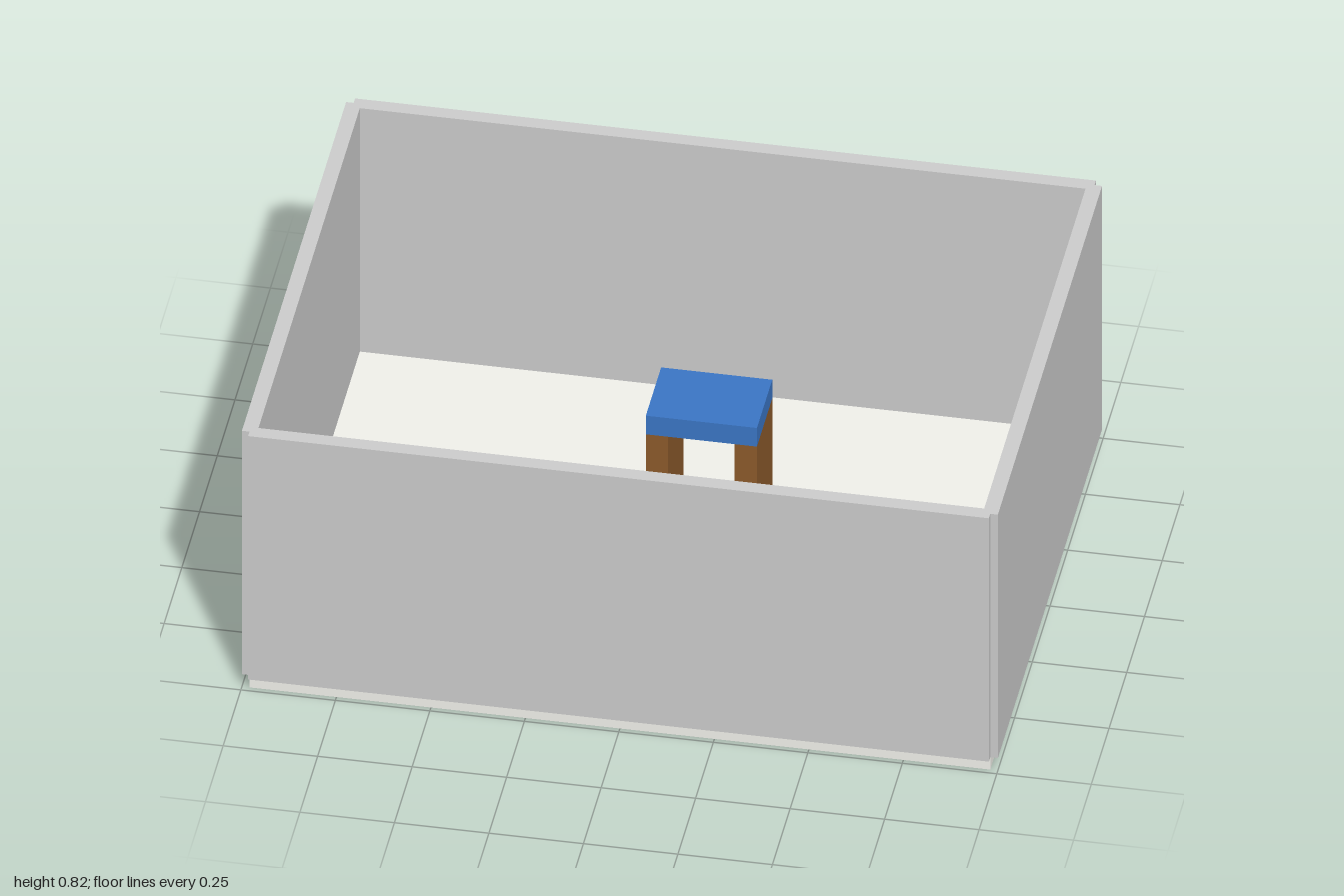
import * as THREE from 'three';

const WIDTH = 1.96, DEPTH = 1.47, THICK = 0.04, WALL_HEIGHT = 0.785;

export function createModel() {
  const room = new THREE.Group();
  room.name = 'room';

  const paint = (color) => new THREE.MeshStandardMaterial({ color });
  const wallGrey = paint(0xcccccc);
  const floorPale = paint(0xf0f0ea);
  const blue = paint(0x3a75c4);
  const brown = paint(0x8b5a2b);

  // Box standing with its underside at height y
  function addBox(parent, name, [w, h, d], [x, y, z], material) {
    const mesh = new THREE.Mesh(new THREE.BoxGeometry(w, h, d), material);
    mesh.name = name;
    mesh.position.set(x, y + h / 2, z);
    parent.add(mesh);
  }

  addBox(room, 'floor', [WIDTH, THICK, DEPTH], [0, 0, 0], floorPale);

  // Walls centred on the floor's edges, leaving notched corners
  for (const s of [1, -1]) {
    addBox(room, s > 0 ? 'frontWall' : 'backWall',
      [WIDTH, WALL_HEIGHT, THICK], [0, THICK, s * DEPTH / 2], wallGrey);
    addBox(room, s > 0 ? 'leftWall' : 'rightWall',
      [THICK, WALL_HEIGHT, DEPTH], [s * WIDTH / 2, THICK, 0], wallGrey);
  }

  // Table: slab top on two side panels
  const table = new THREE.Group();
  table.name = 'table';
  table.position.set(0.098, THICK, 0);
  const w = 0.294, d = 0.216, panel = 0.059, legHeight = 0.45;
  addBox(table, 'tableTop', [w, 0.06, d], [0, legHeight, 0], blue);
  for (const s of [1, -1]) {
    addBox(table, s > 0 ? 'leftSupport' : 'rightSupport',
      [panel, legHeight, d], [s * (w - panel) / 2, 0, 0], brown);
  }
  room.add(table);

  return room;
}
